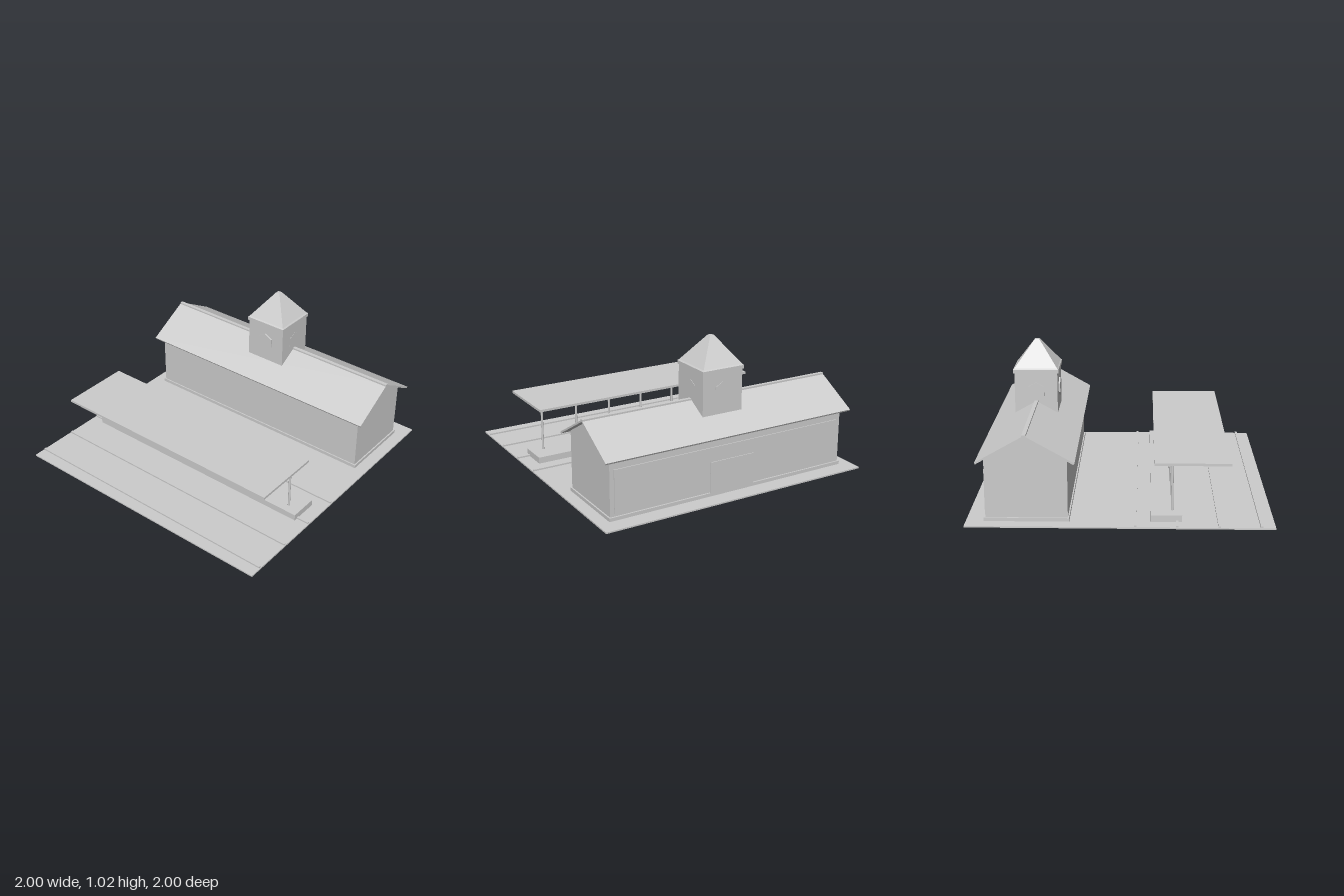
import * as THREE from 'three';

const grey = new THREE.MeshStandardMaterial({ color: 0xcccccc });
grey.name = 'light grey';

const Z = -0.605; // ridge line and tower centre

export function createModel() {
  const model = new THREE.Group();
  model.name = 'railwayStation';

  const add = (name, geometry, parent = model) => {
    const mesh = new THREE.Mesh(geometry, grey);
    mesh.name = name;
    parent.add(mesh);
    return mesh;
  };
  // box given by its limits on each axis
  const box = (name, x0, x1, y0, y1, z0, z1, parent) => {
    const mesh = add(name, new THREE.BoxGeometry(x1 - x0, y1 - y0, z1 - z0), parent);
    mesh.position.set((x0 + x1) / 2, (y0 + y1) / 2, (z0 + z1) / 2);
    return mesh;
  };
  // prism running along x, with its section drawn across the ridge
  const prism = (name, points, halfLength, parent) => {
    const shape = new THREE.Shape(points.map(([a, b]) => new THREE.Vector2(a, b)));
    const g = new THREE.ExtrudeGeometry(shape, { depth: 2 * halfLength, bevelEnabled: false });
    g.translate(0, 0, -halfLength).rotateY(Math.PI / 2);
    add(name, g, parent).position.z = Z;
  };
  // flat-faced square frustum
  const frustum = (name, bottom, top, y0, y1, parent) => {
    const g = new THREE.CylinderGeometry(top * Math.SQRT2, bottom * Math.SQRT2, y1 - y0, 4)
      .rotateY(Math.PI / 4).toNonIndexed();
    g.computeVertexNormals();
    add(name, g, parent).position.set(0, (y0 + y1) / 2, Z);
  };

  // Ground and rails
  box('ground', -1, 1, 0, 0.01, -1, 1);
  [0.1, 0.37, 0.64, 0.91].forEach((z) => box('rail', -0.995, 0.995, 0.01, 0.021, z - 0.008, z + 0.008));

  // Platform with posts and canopy
  const platform = new THREE.Group();
  platform.name = 'platformShelter';
  model.add(platform);
  box('platform', -0.905, 0.905, 0.01, 0.055, 0.2, 0.403, platform);
  for (let i = -3; i <= 3; i++) {
    const post = add('post', new THREE.CylinderGeometry(0.008, 0.008, 0.33, 12), platform);
    post.position.set(i * 0.27, 0.22, 0.34);
  }
  box('canopy', -0.875, 0.875, 0.383, 0.4, 0.22, 0.718, platform);

  // Station hall
  const hall = new THREE.Group();
  hall.name = 'stationHall';
  model.add(hall);
  box('plinth', -0.915, 0.915, 0.01, 0.034, -0.884, -0.328, hall);
  prism('walls', [[-0.268, 0.03], [0.268, 0.03], [0.268, 0.438], [0, 0.593], [-0.268, 0.438]], 0.905, hall);
  prism('roof', [[-0.319, 0.423], [-0.313, 0.412], [0, 0.591], [0.313, 0.412], [0.319, 0.423], [0, 0.604]], 0.955, hall);
  box('ridgeCap', -0.955, 0.955, 0.594, 0.608, Z - 0.013, Z + 0.013, hall);
  box('rearPanel', -0.875, 0.875, 0.055, 0.35, -0.88, -0.872, hall);
  box('rearDoor', -0.17, 0.17, 0.034, 0.25, -0.886, -0.878, hall);

  // Clock tower
  const tower = new THREE.Group();
  tower.name = 'clockTower';
  model.add(tower);
  box('shaft', -0.153, 0.153, 0.48, 0.81, Z - 0.15, Z + 0.15, tower);
  frustum('cornice', 0.159, 0.159, 0.805, 0.83, tower);
  frustum('corniceSlope', 0.159, 0.15, 0.83, 0.838, tower);
  frustum('spire', 0.15, 0.015, 0.838, 1.02, tower);

  // Hexagonal clock faces: front, left, back, right
  [0.161, 0.155, 0.153, 0.162].forEach((reach, i) => {
    const clock = new THREE.Group();
    clock.name = 'clock';
    clock.position.set(0, 0.675, Z);
    clock.rotation.y = i * Math.PI / 2;
    const g = new THREE.CylinderGeometry(0.065, 0.065, 0.012, 6).toNonIndexed();
    g.computeVertexNormals();
    g.rotateX(Math.PI / 2);
    add('clockFace', g, clock).position.z = reach - 0.006;
    tower.add(clock);
  });

  return model;
}
